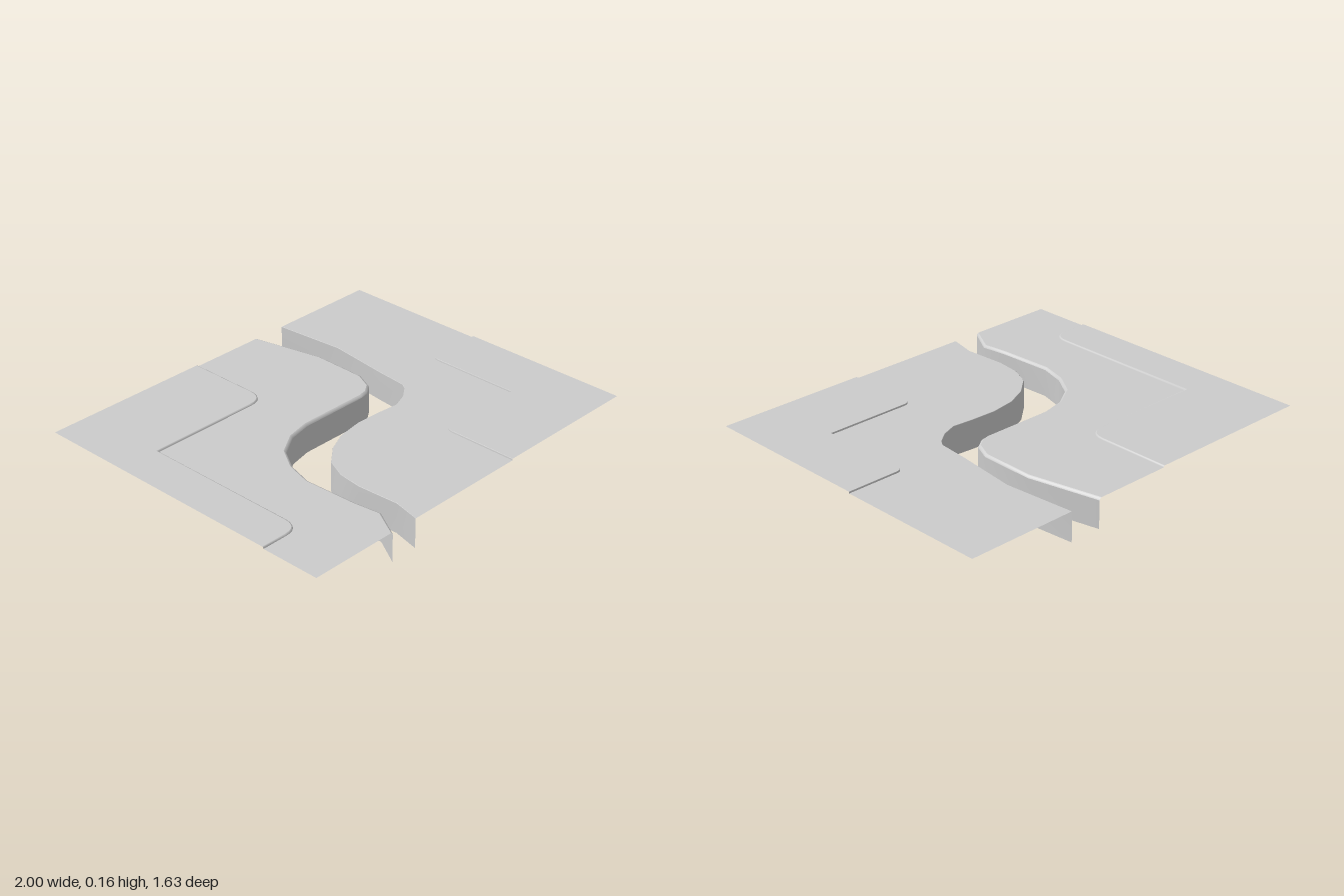
import * as THREE from 'three';

const W = 1, D = 0.815;        // half extents of the tile
const LOW = 0.149, HIGH = 0.157; // bank and terrace heights

const material = new THREE.MeshStandardMaterial({ color: 0xcccccc, side: THREE.DoubleSide });
const V = (x, z) => new THREE.Vector2(x, z);
const toPoints = (list) => list.map(([x, z]) => V(x, z));

// shift a plan path sideways, keeping its ends on the tile border
function offsetPath(path, distance) {
  const last = path.length - 1;
  return path.map((p, i) => {
    const before = path[Math.max(i - 1, 0)], after = path[Math.min(i + 1, last)];
    const a = p.clone().sub(before).normalize(), b = after.clone().sub(p).normalize();
    const t = a.clone().add(b).normalize();
    const miter = distance / Math.max(0.5, Math.abs(t.dot(i ? a : b)));
    const q = V(p.x - t.y * miter, p.y + t.x * miter);
    if (i === 0 || i === last) {
      if (Math.abs(p.x) === W) q.x = p.x; else q.y = p.y;
    }
    return q;
  });
}

// band following a path; rows are [inset, height] from top to bottom
function band(path, rows, side) {
  const n = path.length, position = [], index = [];
  for (const [inset, y] of rows) {
    for (const p of offsetPath(path, inset * side)) position.push(p.x, y, p.y);
  }
  for (let r = 0; r < rows.length - 1; r++) {
    for (let i = 0; i < n - 1; i++) {
      const a = r * n + i, b = a + 1, c = a + n, d = c + 1;
      if (side > 0) index.push(a, b, c, b, d, c);
      else index.push(a, c, b, b, c, d);
    }
  }
  const geometry = new THREE.BufferGeometry();
  geometry.setAttribute('position', new THREE.Float32BufferAttribute(position, 3));
  geometry.setIndex(index);
  geometry.computeVertexNormals();
  return geometry;
}

// flat sheet seen from above
function sheet(outline, y) {
  const shape = new THREE.Shape(outline.map((p) => V(p.x, -p.y)));
  return new THREE.ShapeGeometry(shape).rotateX(-Math.PI / 2).translate(0, y, 0);
}

function addMesh(group, name, geometry) {
  const mesh = new THREE.Mesh(geometry, material);
  mesh.name = name;
  group.add(mesh);
}

// one side of the channel: ground, terrace, terrace step and channel wall
function makeBank(name, { edge, step, terraceCorner, outer, side, bevel, stepWidth }) {
  const group = new THREE.Group();
  group.name = name;
  const rim = offsetPath(edge, bevel * side);
  const ground = [...rim, ...outer.front, ...step.slice().reverse(), ...outer.back];
  const terrace = [...offsetPath(step, stepWidth * side), ...terraceCorner];
  addMesh(group, 'ground', sheet(ground, LOW));
  addMesh(group, 'terrace', sheet(terrace, HIGH));
  addMesh(group, 'terraceStep', band(step, [[stepWidth, HIGH], [stepWidth * 0.3, HIGH - 0.002], [0, LOW]], side));
  if (bevel > 0.005) {
    addMesh(group, 'roundedRim', band(edge, [[bevel, LOW], [bevel * 0.35, LOW - 0.004], [0, LOW - 0.012]], side));
    addMesh(group, 'channelWall', band(edge, [[0, LOW - 0.012], [0, 0]], side));
  } else {
    addMesh(group, 'channelWall', band(edge, [[bevel, LOW], [0, LOW - bevel], [0, 0]], side));
  }
  return group;
}

export function createModel() {
  const model = new THREE.Group();
  model.name = 'riverTile';

  // channel edges, back to front
  const westEdge = toPoints([
    [0.27, -D], [0.346, -0.46], [0.342, -0.19], [0.30, -0.1], [0.25, -0.065], [0.2, -0.055],
    [-0.16, -0.057], [-0.28, -0.03], [-0.39, 0.04], [-0.46, 0.15], [-0.497, 0.28],
    [-0.485, 0.55], [-0.468, 0.68], [-0.547, D]]);
  const eastEdge = toPoints([
    [0.435, -D], [0.465, -0.46], [0.425, -0.15], [0.41, 0.01], [0.39, 0.04], [0.33, 0.085],
    [0.25, 0.115], [0.14, 0.105], [0.01, 0.1], [-0.12, 0.12], [-0.23, 0.17], [-0.325, 0.25],
    [-0.37, 0.35], [-0.385, 0.47], [-0.373, 0.68], [-0.405, D]]);

  // terrace outlines: two rounded corners and one sharp one
  const westStep = new THREE.Path().moveTo(-0.13, -D).lineTo(-0.13, -0.45)
    .quadraticCurveTo(-0.13, -0.36, -0.22, -0.36).lineTo(-0.787, -0.36).lineTo(-0.787, 0.43)
    .quadraticCurveTo(-0.787, 0.516, -0.87, 0.516).lineTo(-W, 0.516).getPoints(6);
  const eastStep = new THREE.Path().moveTo(W, -0.055).lineTo(0.735, -0.055)
    .quadraticCurveTo(0.7, -0.055, 0.7, -0.02).lineTo(0.7, 0.43).lineTo(0.27, 0.43)
    .quadraticCurveTo(0.233, 0.43, 0.233, 0.467).lineTo(0.233, D).getPoints(6);

  model.add(makeBank('rightBank', {
    edge: westEdge, step: westStep, side: 1, bevel: 0.012, stepWidth: 0.007,
    terraceCorner: [V(-W, -D)], outer: { front: [V(-W, D)], back: [] },
  }));
  model.add(makeBank('leftBank', {
    edge: eastEdge, step: eastStep, side: -1, bevel: 0.002, stepWidth: 0.002,
    terraceCorner: [V(W, D)], outer: { front: [], back: [V(W, -D)] },
  }));
  return model;
}
